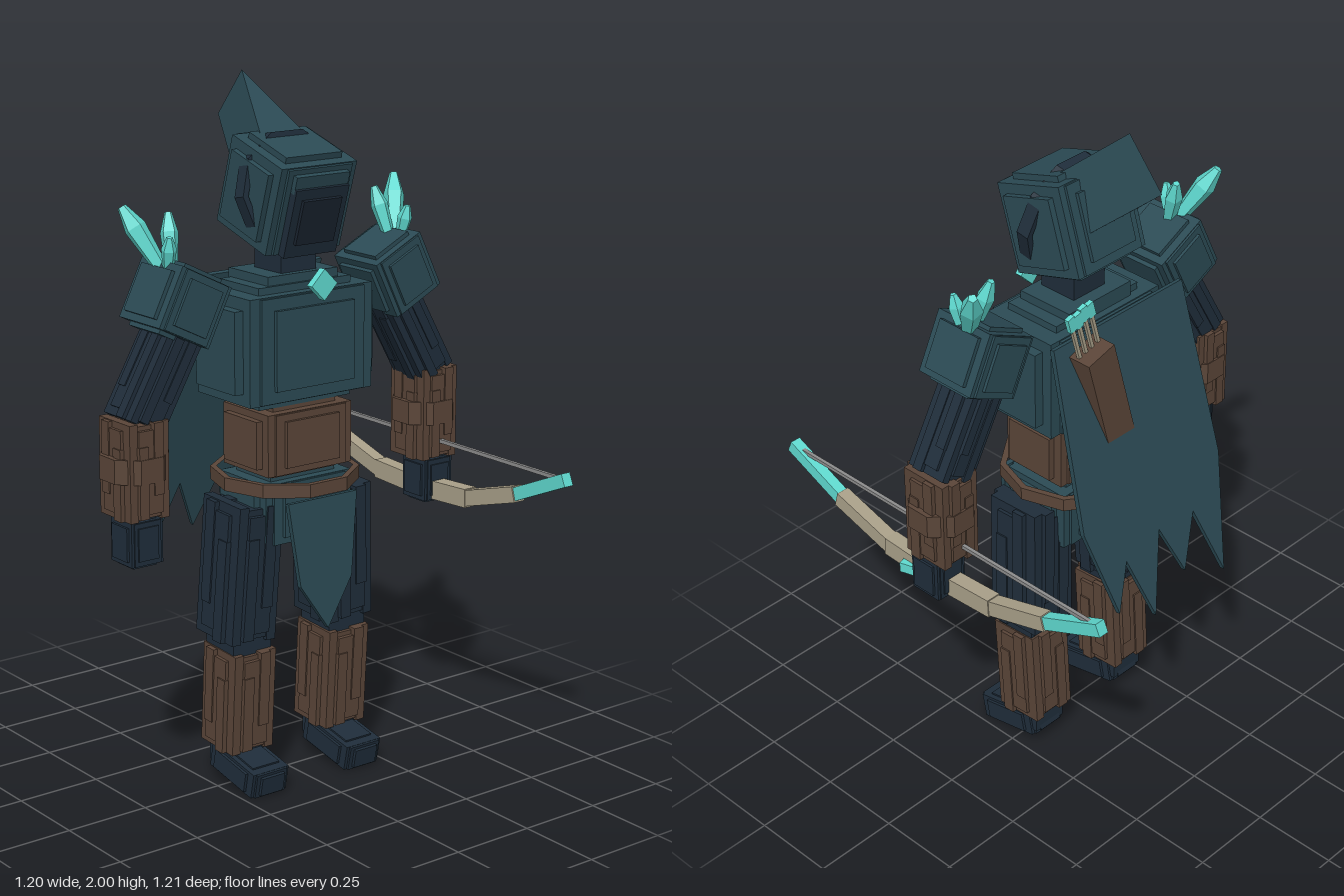
import * as THREE from 'three';

const mat = (name, color) => {
  const m = new THREE.MeshStandardMaterial({ color });
  m.name = name;
  return m;
};

export function createModel() {
  const teal = mat('teal cloth', 0x2b4a54), navy = mat('navy cloth', 0x1f2d3a);
  const dark = mat('shadowed face', 0x1a2430), brown = mat('brown leather', 0x5a4538);
  const wood = mat('pale wood', 0xa89f88), cyan = mat('cyan crystal', 0x5fd9cf);
  const grey = mat('bowstring', 0x8c8c8c);
  const model = new THREE.Group();
  model.name = 'hoodedArcher';

  const add = (parent, name, geo, m, x = 0, y = 0, z = 0, rx = 0, ry = 0, rz = 0) => {
    const mesh = new THREE.Mesh(geo, m);
    mesh.name = name;
    mesh.position.set(x, y, z);
    mesh.rotation.set(rx, ry, rz);
    parent.add(mesh);
    return mesh;
  };
  const group = (parent, name, x = 0, y = 0, z = 0, rx = 0, ry = 0, rz = 0) => {
    const g = new THREE.Group();
    g.name = name;
    g.position.set(x, y, z);
    g.rotation.set(rx, ry, rz);
    parent.add(g);
    return g;
  };
  const box = (w, h, d) => new THREE.BoxGeometry(w, h, d);

  // Stepped block: a core with a raised plate on every face
  const block = (g, name, m, w, h, d) => {
    add(g, name + 'Core', box(w * 0.88, h * 0.88, d * 0.86), m);
    add(g, name + 'Sides', box(w, h * 0.68, d * 0.64), m);
    add(g, name + 'Ends', box(w * 0.66, h, d * 0.64), m);
    add(g, name + 'Faces', box(w * 0.56, h * 0.66, d), m);
    add(g, name + 'Rim', box(w * 0.74, h * 0.86, d * 0.92), m);
  };

  // Limb wrapped in overlapping upright strips
  const limb = (g, name, m, w, h, d) => {
    add(g, name + 'Core', box(w * 0.82, h * 0.95, d * 0.82), m);
    add(g, name + 'Sides', box(w * 0.95, h * 0.86, d * 0.5), m);
    add(g, name + 'Faces', box(w * 0.5, h * 0.86, d * 0.95), m);
    for (const a of [-1, 1]) {
      add(g, name + 'FrontStrip', box(w * 0.2, h * 0.74, d), m, a * w * 0.16, h * (a > 0 ? 0.13 : -0.1));
      add(g, name + 'SideStrip', box(w, h * 0.74, d * 0.2), m, 0, h * (a > 0 ? -0.13 : 0.12), a * d * 0.16);
      add(g, name + 'CornerStrip', box(w * 0.17, h, d * 0.86), m, a * w * 0.33);
    }
  };

  // Faceted band lying in the xz plane
  const band = (r, h, t, n) => {
    const ring = (q) => Array.from({ length: n }, (_, i) => {
      const a = (i + 0.5) / n * Math.PI * 2;
      return new THREE.Vector2(Math.sin(a) * q, Math.cos(a) * q);
    });
    const s = new THREE.Shape(ring(r));
    s.holes.push(new THREE.Path(ring(r - t)));
    return new THREE.ExtrudeGeometry(s, { depth: h, bevelEnabled: false })
      .translate(0, 0, -h / 2).rotateX(Math.PI / 2);
  };
  const plate = (pts, depth) => new THREE.ExtrudeGeometry(
    new THREE.Shape(pts.map(([x, y]) => new THREE.Vector2(x, y))), { depth, bevelEnabled: false })
    .translate(0, 0, -depth / 2);

  // Five-sided shard from one point to another
  const crystal = (name, a, b, r) => {
    const from = new THREE.Vector3(...a), dir = new THREE.Vector3(...b).sub(from);
    const len = dir.length();
    const g = group(model, name, ...a);
    g.quaternion.setFromUnitVectors(new THREE.Vector3(0, 1, 0), dir.normalize());
    for (const [part, r0, r1, y0, y1] of [['Stem', 0.6, 1, 0, 0.68], ['Tip', 1, 0.4, 0.68, 1]]) {
      const geo = new THREE.CylinderGeometry(r * r1, r * r0, len * (y1 - y0), 5).toNonIndexed();
      geo.computeVertexNormals();
      add(g, name + part, geo, cyan, 0, len * (y0 + y1) / 2);
    }
  };

  // Torso
  block(group(model, 'chest', 0, 1.28, -0.01), 'chest', teal, 0.48, 0.34, 0.28);
  add(model, 'collar', box(0.24, 0.05, 0.18), teal, 0, 1.45, -0.02);
  add(model, 'neck', box(0.12, 0.16, 0.12), navy, 0, 1.51, -0.01);
  block(group(model, 'waist', 0, 1.01, 0), 'waist', brown, 0.33, 0.2, 0.24);
  block(group(model, 'pelvis', 0, 0.81, -0.01), 'pelvis', teal, 0.34, 0.2, 0.25);
  add(model, 'belt', band(0.21, 0.038, 0.018, 10), brown, 0, 0.89, -0.012);
  add(model, 'tabard', plate([[-0.12, 0], [-0.09, -0.24], [0, -0.375], [0.09, -0.24], [0.12, 0]], 0.015),
    teal, 0, 0.855, 0.155, -0.07);
  add(model, 'brooch', box(0.062, 0.062, 0.022), cyan, 0, 1.455, 0.155, 0, 0, Math.PI / 4);

  // Hooded head, tipped forward
  const head = group(model, 'head', 0, 1.69, -0.005, 0.3);
  block(head, 'hood', teal, 0.29, 0.29, 0.27);
  add(head, 'face', box(0.18, 0.2, 0.06), navy, 0, -0.025, 0.118);
  add(head, 'faceShadow', box(0.13, 0.13, 0.06), dark, 0, -0.02, 0.128);
  add(head, 'brow', box(0.18, 0.05, 0.05), teal, 0, 0.085, 0.115);
  add(model, 'hoodRim', band(0.172, 0.04, 0.018, 10), navy, 0, 1.69, 0.01, Math.PI / 2 - 0.19);
  add(model, 'hoodPeak', plate([[-0.075, 0], [0.075, 0], [0, 0.25]], 0.175).translate(0, 0, 0.0875),
    teal, 0, 1.705, -0.13, -0.865);

  // Ragged cape sloping away from the back
  const capeOutline = [[-0.25, 1.45], [-0.278, 0.93], [-0.22, 0.59], [-0.14, 0.81], [-0.07, 0.66],
    [0, 0.82], [0.07, 0.59], [0.14, 0.79], [0.2, 0.66], [0.272, 0.93], [0.25, 1.45]];
  add(model, 'cape', plate(capeOutline.map(([x, y]) => [x, (y - 1.45) * 1.032]), 0.015),
    teal, 0, 1.45, -0.172, 0.248);

  // Quiver with arrows
  const quiver = group(model, 'quiver', 0.1, 1.235, -0.212, 0, 0, -0.27);
  add(quiver, 'quiverCase', box(0.1, 0.4, 0.095), brown);
  for (let i = 0; i < 4; i++) {
    const x = -0.036 + i * 0.024;
    add(quiver, 'arrowShaft', box(0.01, 0.14, 0.01), wood, x, 0.24);
    add(quiver, 'fletching', box(0.024, 0.045, 0.014), cyan, x, 0.315 + (i % 2) * 0.006);
  }

  for (const s of [-1, 1]) {
    const side = s > 0 ? 'left' : 'right';
    // Legs
    limb(group(model, side + 'Thigh', s * 0.165, 0.645, -0.005, 0.04, 0, s * 0.05), 'thigh', navy, 0.18, 0.4, 0.2);
    add(model, side + 'Knee', box(0.13, 0.12, 0.13), navy, s * 0.17, 0.43, -0.005);
    limb(group(model, side + 'Shin', s * 0.168, 0.265, -0.01, 0.06), 'shin', brown, 0.17, 0.3, 0.175);
    add(model, side + 'Ankle', box(0.11, 0.1, 0.11), navy, s * 0.168, 0.11, -0.02);
    block(group(model, side + 'Foot', s * 0.168, 0.062, 0.04, 0.2), 'foot', navy, 0.14, 0.085, 0.23);
    // Arms
    block(group(model, side + 'ShoulderPad', s * 0.368, 1.425, -0.012, 0, 0, s * 0.46), 'shoulderPad', teal, 0.2, 0.2, 0.22);
    limb(group(model, side + 'UpperArm', s * 0.43, 1.255, -0.01, 0, 0, s * 0.52), 'upperArm', navy, 0.14, 0.33, 0.15);
    limb(group(model, side + 'Forearm', s * 0.51, 0.995, -0.01), 'forearm', brown, 0.15, 0.27, 0.17);
    add(model, side + 'Cuff', band(0.095, 0.068, 0.018, 8), brown, s * 0.51, 1.0, -0.01);
    block(group(model, side + 'Hand', s * 0.515, 0.795, 0.005), 'hand', navy, 0.115, 0.14, 0.115);
    // Shoulder crystals
    crystal(side + 'LongCrystal', [s * 0.4, 1.51, -0.02], [s * 0.47, 1.68, -0.11], 0.032);
    crystal(side + 'MiddleCrystal', [s * 0.38, 1.5, -0.01], [s * 0.355, 1.66, -0.06], 0.026);
    crystal(side + 'SmallCrystal', [s * 0.4, 1.5, 0], [s * 0.41, 1.61, 0.025], 0.022);
  }

  // Bow held level in the left hand
  const bow = group(model, 'bow', 0.51, 0, 0);
  const joints = [[0, 0.762], [0.2, 0.772], [0.4, 0.83], [0.595, 0.915]];
  for (const s of [-1, 1]) {
    for (let i = 0; i < 3; i++) {
      const [z0, y0] = joints[i], [z1, y1] = joints[i + 1];
      const t = [0.055, 0.046, 0.038][i];
      add(bow, i < 2 ? 'bowLimb' : 'bowTip', box([0.045, 0.04, 0.032][i], Math.hypot(z1 - z0, y1 - y0) + 0.006, t),
        i < 2 ? wood : cyan, 0, (y0 + y1) / 2, s * (z0 + z1) / 2, Math.atan2(s * (z1 - z0), y1 - y0));
    }
  }
  add(bow, 'bowstring', box(0.011, 0.011, 1.14), grey, 0, 0.913);
  add(bow, 'bowGem', box(0.045, 0.03, 0.055), cyan, 0.015, 0.755, 0.1, 0, 0.3);

  return model;
}
